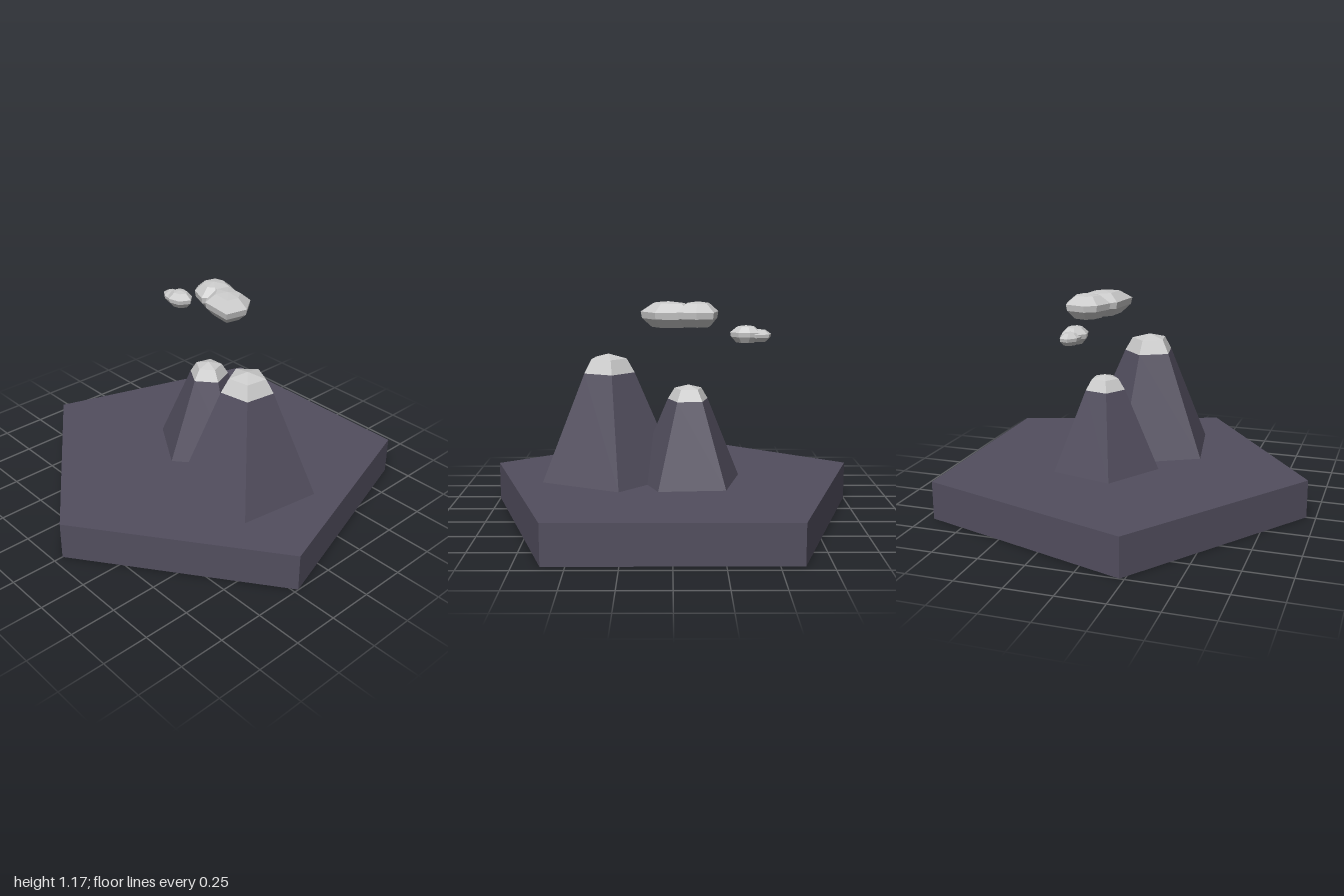
import * as THREE from 'three';
import { ConvexGeometry } from 'three/addons/geometries/ConvexGeometry.js';

const rock = new THREE.MeshStandardMaterial({ color: 0x524e5e, flatShading: true });
const pale = new THREE.MeshStandardMaterial({ color: 0xcccccc, flatShading: true });
const GROUND = 0.21;

function add(parent, name, geometry, material) {
  const mesh = new THREE.Mesh(geometry, material);
  mesh.name = name;
  parent.add(mesh);
  return mesh;
}

// Five-sided solid turned from [radius, height] pairs, listed bottom to top
function fiveSided(profile, turn) {
  const points = profile.map(([r, y]) => new THREE.Vector2(r, y));
  return new THREE.LatheGeometry(points, 5, THREE.MathUtils.degToRad(turn));
}

// Tapered peak with a snow cap
function mountain(name, x, z, turn, foot, snowLine, shoulder, top) {
  const group = new THREE.Group();
  group.name = name;
  group.position.set(x, 0, z);
  add(group, 'slope', fiveSided([[foot, GROUND], snowLine], turn), rock);
  add(group, 'snowCap', fiveSided([snowLine, shoulder, [0, top]], turn), pale);
  return group;
}

// Faceted puff: a hull over shrunken copies of its [x, z] outline
function puff(outline, bottom, top) {
  const n = outline.length;
  const cx = outline.reduce((s, p) => s + p[0], 0) / n;
  const cz = outline.reduce((s, p) => s + p[1], 0) / n;
  const h = top - bottom;
  const points = [new THREE.Vector3(cx, top, cz)];
  for (const [scale, level] of [[0.6, 0], [0.95, 0.34], [1, 0.6], [0.55, 0.93]]) {
    for (const [x, z] of outline) {
      points.push(new THREE.Vector3(cx + (x - cx) * scale, bottom + h * level, cz + (z - cz) * scale));
    }
  }
  return new ConvexGeometry(points);
}

export function createModel() {
  const model = new THREE.Group();
  model.name = 'mountainIsland';

  // Pentagonal slab with its point to the front
  const slab = add(model, 'base', new THREE.CylinderGeometry(1.05, 1.05, GROUND, 5), rock);
  slab.position.set(0, GROUND / 2, -0.1);

  // Mountains
  model.add(mountain('tallMountain', 0.345, -0.035, -26, 0.392, [0.143, 0.78], [0.1, 0.855], 0.88));
  model.add(mountain('smallMountain', -0.085, -0.16, 4, 0.3, [0.112, 0.65], [0.075, 0.71], 0.73));

  // Large cloud of two puffs
  const large = new THREE.Group();
  large.name = 'largeCloud';
  add(large, 'rightPuff', puff([[-0.1, -0.32], [0.09, -0.3], [0.165, -0.2], [0.14, -0.075],
    [-0.05, -0.1], [-0.13, -0.2]], 1.04, 1.173), pale);
  add(large, 'leftPuff', puff([[-0.21, -0.33], [-0.12, -0.353], [-0.02, -0.31], [-0.04, -0.17],
    [-0.1, -0.12], [-0.2, -0.16], [-0.238, -0.22]], 1.045, 1.175), pale);
  model.add(large);

  // Small cloud of two puffs
  const small = new THREE.Group();
  small.name = 'smallCloud';
  add(small, 'mainPuff', puff([[-0.45, -0.26], [-0.4, -0.275], [-0.34, -0.265], [-0.3, -0.22],
    [-0.33, -0.16], [-0.4, -0.143], [-0.46, -0.19]], 0.96, 1.05), pale);
  add(small, 'sidePuff', puff([[-0.5, -0.25], [-0.43, -0.272], [-0.36, -0.23], [-0.4, -0.16],
    [-0.47, -0.17], [-0.515, -0.205]], 0.965, 1.03), pale);
  model.add(small);

  return model;
}
